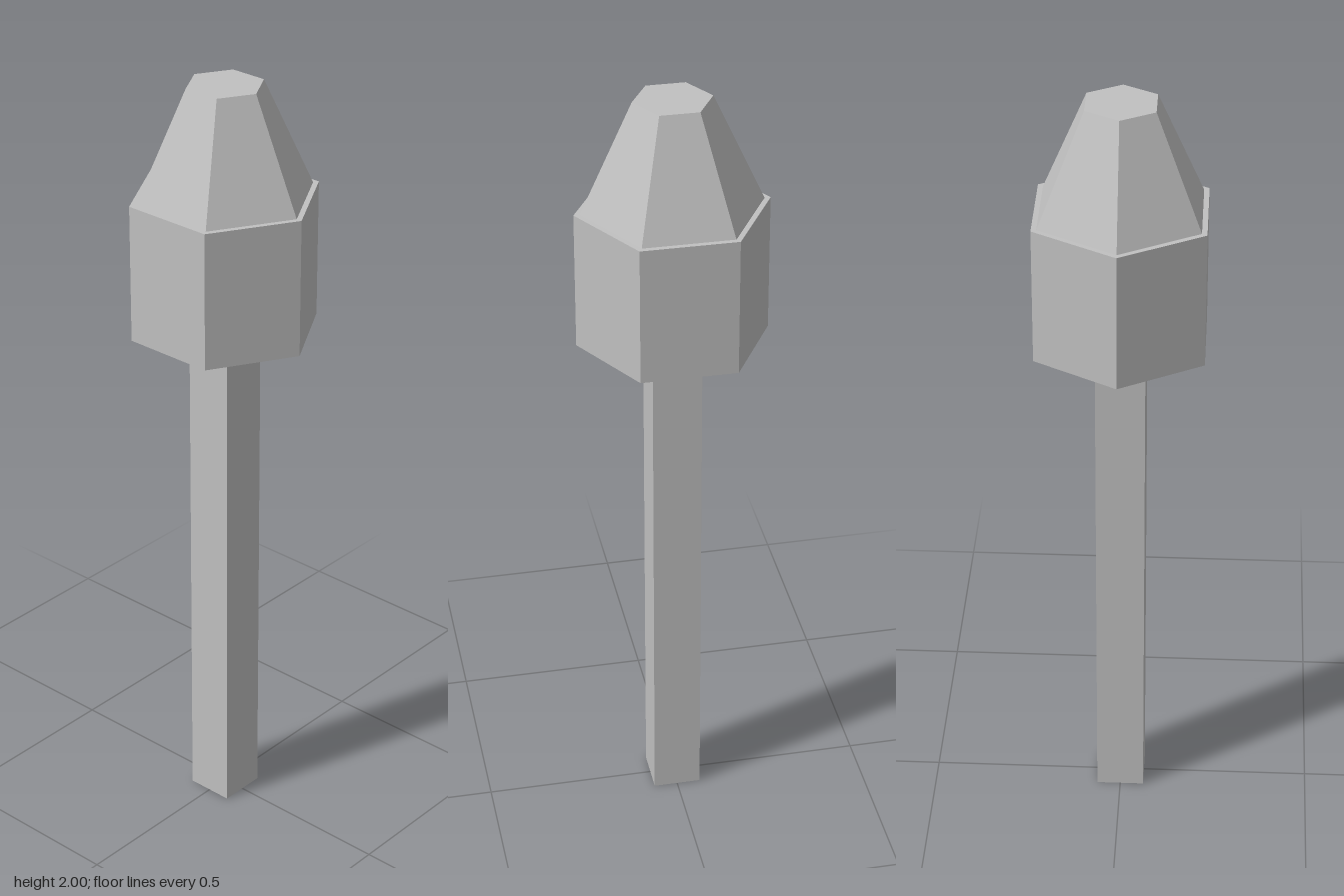
import * as THREE from 'three';

export function createModel() {
  const group = new THREE.Group();
  const grey = new THREE.MeshStandardMaterial({ color: 0xc0c0c0, flatShading: true });
  grey.name = 'grey';

  // Adds a named part whose geometry spans bottom..top
  const add = (name, geometry, bottom, top) => {
    const mesh = new THREE.Mesh(geometry, grey);
    mesh.name = name;
    mesh.position.y = (bottom + top) / 2;
    group.add(mesh);
  };
  // Six-sided tapered section with corners on the z axis
  const hex = (name, rTop, rBottom, bottom, top) =>
    add(name, new THREE.CylinderGeometry(rTop, rBottom, top - bottom, 6), bottom, top);

  // Square post
  add('post', new THREE.BoxGeometry(0.124, 1.365, 0.124), 0, 1.365);
  // Hexagonal head and its tapered, flat-topped cap
  hex('head', 0.24, 0.24, 1.365, 1.72);
  hex('cap', 0.097, 0.225, 1.72, 2);

  return group;
}
